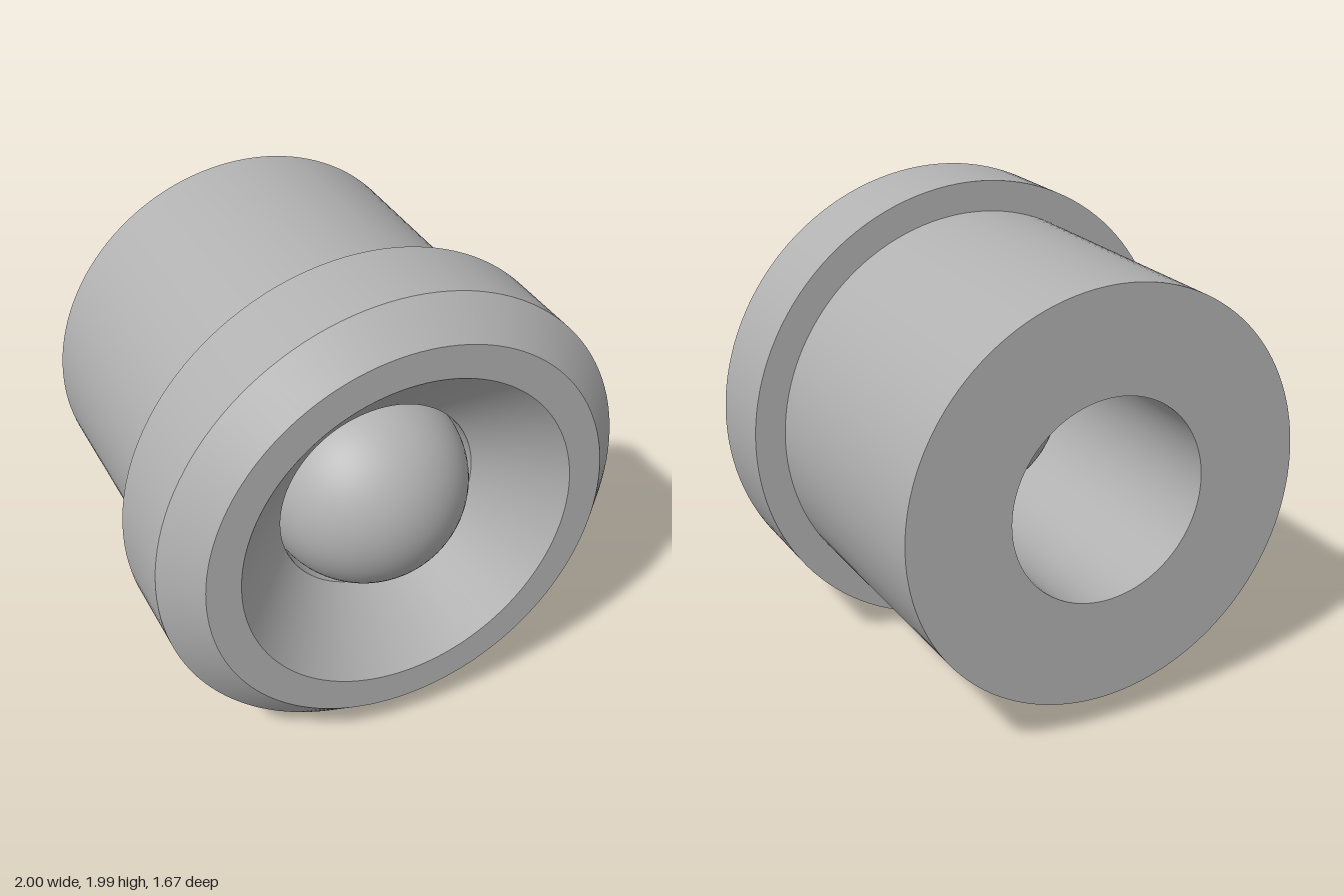
import * as THREE from 'three';
import { mergeGeometries } from 'three/addons/utils/BufferGeometryUtils.js';

const RADIUS = 0.997, BORE = 0.427, SEGMENTS = 128;

// Revolves each straight run of a profile on its own, so corners stay sharp
function sharpLathe(profile) {
  const bands = [];
  for (let i = 0; i < profile.length - 1; i++) {
    const ends = [profile[i], profile[i + 1]].map(([r, s]) => new THREE.Vector2(r, s));
    bands.push(new THREE.LatheGeometry(ends, SEGMENTS));
  }
  return mergeGeometries(bands).rotateX(Math.PI / 2);
}

export function createModel() {
  const steel = new THREE.MeshStandardMaterial({ color: 0xb2b2b2 });
  steel.name = 'grey steel';

  const model = new THREE.Group();
  model.name = 'flangedBushing';
  const add = (name, geometry) => {
    const mesh = new THREE.Mesh(geometry, steel);
    mesh.name = name;
    model.add(mesh);
    return mesh;
  };

  // Barrel with its flat back ring
  add('barrel', sharpLathe([[BORE, -0.816], [0.867, -0.816], [0.867, 0.318]]));

  // Chamfered flange and flat front rim
  add('flange', sharpLathe([
    [0.867, 0.318], [RADIUS, 0.318], [RADIUS, 0.672], [0.855, 0.816], [0.713, 0.816],
  ]));

  // Conical seat leading into the through bore
  add('conicalSeat', sharpLathe([[0.713, 0.816], [BORE, 0.53]]));
  add('bore', sharpLathe([[BORE, 0.53], [BORE, -0.816]]));

  // Ball filling the bore just behind the seat
  add('ball', new THREE.SphereGeometry(BORE - 0.001, 64, 48)).position.z = 0.4;

  // The axis is turned very slightly about the vertical
  model.rotation.y = 0.02;
  model.position.set(-0.01, RADIUS, 0);
  const root = new THREE.Group();
  root.name = 'bushingWithBall';
  root.add(model);
  return root;
}
